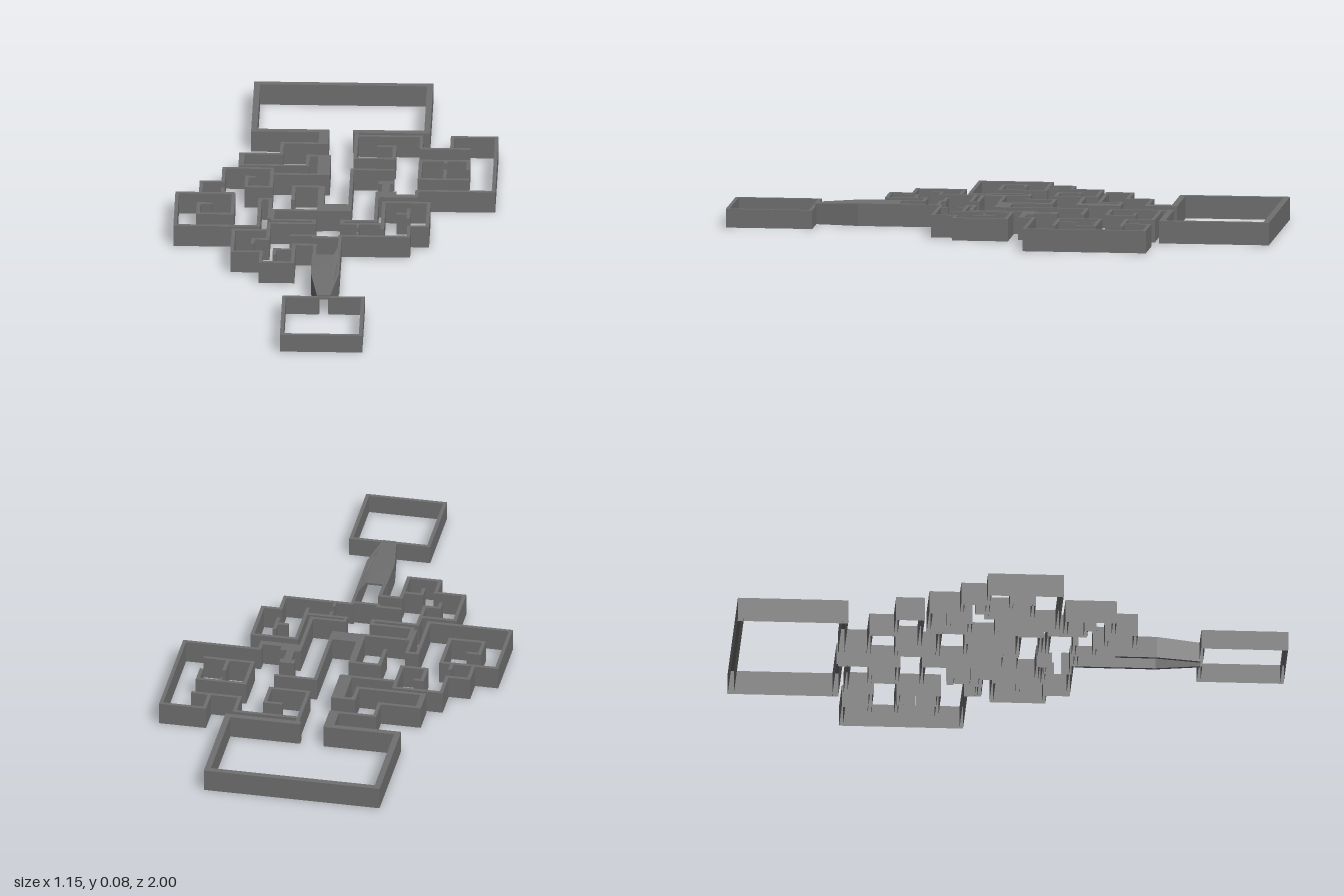
import * as THREE from 'three';

// Plan coordinates are [x, z] in hundredths of a unit.
const material = new THREE.MeshStandardMaterial({ color: 0x707070, flatShading: true, side: THREE.DoubleSide });
const HEIGHT = 0.082;
const THIN = 1.3;

// Box shell, open underneath
function block(parent, name, x0, x1, z0, z1, h = HEIGHT, y0 = 0) {
  const geo = new THREE.BoxGeometry((x1 - x0) / 100, h - y0, (z1 - z0) / 100);
  geo.setIndex([...geo.index.array].filter((_, i) => i < 18 || i > 23));
  geo.clearGroups();
  const mesh = new THREE.Mesh(geo, material);
  mesh.position.set((x0 + x1) / 200, (h + y0) / 2, (z0 + z1) / 200);
  mesh.name = name;
  parent.add(mesh);
}

// Upright axis-aligned walls following a path, with square corners
function walls(parent, name, path, t = THIN, h = HEIGHT) {
  const group = new THREE.Group();
  group.name = name;
  for (let i = 0; i + 1 < path.length; i++) {
    const [ax, az] = path[i], [bx, bz] = path[i + 1], r = t / 2;
    block(group, 'wall', Math.min(ax, bx) - r, Math.max(ax, bx) + r, Math.min(az, bz) - r, Math.max(az, bz) + r, h);
  }
  parent.add(group);
}

// Flat plan outline raised between two heights
function prism(parent, name, outline, y0, y1, slope) {
  const shape = new THREE.Shape(outline.map(([x, z]) => new THREE.Vector2(x / 100, -z / 100)));
  const geo = new THREE.ExtrudeGeometry(shape, { depth: y1 - y0, bevelEnabled: false });
  geo.rotateX(-Math.PI / 2).translate(0, y0, 0);
  const p = geo.attributes.position;
  for (let i = 0; i < p.count; i++) p.setY(i, p.getY(i) * slope(p.getZ(i)));
  geo.computeVertexNormals();
  const mesh = new THREE.Mesh(geo, material);
  mesh.name = name;
  parent.add(mesh);
}

export function createModel() {
  const model = new THREE.Group();
  model.name = 'mazeWalls';

  // Large back hall, open in the middle of its front wall
  walls(model, 'backHall', [[-5, -61.1], [-30.9, -61.1], [-30.9, -98.9], [31.6, -98.9], [31.6, -61.1], [5.9, -61.1]], 2.2);

  // Left half of the maze
  walls(model, 'upperLeftPassage', [[-5, -51.2], [-20.5, -51.2], [-20.5, -42.3], [-35.1, -42.3], [-35.1, -33.2],
    [-10.8, -33.2], [-10.8, -41.2], [-3.5, -41.2]]);
  walls(model, 'leftOuterWall', [[-3.5, -26.2], [-23.5, -26.2], [-23.5, -30.6], [-40.9, -30.6], [-40.9, -19.5],
    [-48.8, -19.5], [-48.8, -10.3], [-57.3, -10.3], [-57.3, 15.8], [-27.2, 15.8], [-27.2, -6.1], [-23.4, -6.1], [-23.4, 9]]);
  walls(model, 'leftHook', [[-23.5, -26.2], [-23.5, -15.8], [-32.5, -15.8], [-32.5, -23.7], [-30, -23.7]]);
  walls(model, 'leftStub', [[-40.9, -14], [-40.9, -10.3]]);
  walls(model, 'leftSpiral', [[-48.8, -10.3], [-36.9, -10.3], [-36.9, 6.2], [-49.3, 6.2], [-49.3, -2], [-45.2, -2]]);
  walls(model, 'centreLeftWall', [[-15.3, -6], [-15.3, -16.4], [-5, -16.4], [-5, 2.6], [-22.2, 2.6], [-22.2, 10.6],
    [-7.1, 10.6], [-7.1, 13.2], [-23.5, 13.2], [-23.5, 18.9], [-36.1, 18.9], [-36.1, 36.2], [-25.6, 36.2], [-25.6, 44.5],
    [-14, 44.5], [-14, 30.2], [-6.3, 30.2], [-6.3, 38]]);
  walls(model, 'lowerLeftHook', [[-23.5, 18.9], [-23.5, 26.2], [-28.8, 26.2], [-28.8, 29.2]]);
  walls(model, 'lowerLeftStub', [[-14, 34.1], [-20.8, 34.1], [-20.8, 37.7]]);

  // Right half of the maze
  walls(model, 'upperRightRoom', [[6.2, -61], [6.2, -39.6], [20.2, -39.6], [20.2, -49.4], [14.5, -49.4]]);
  walls(model, 'rightOuterWall', [[7, -57.6], [29.8, -57.6], [29.8, -48], [47, -48]]);
  walls(model, 'rightOuterWall', [[40.9, -48], [40.9, -57.6], [56.9, -57.6], [56.9, -14.1], [29.3, -14.1], [29.3, -9.3],
    [15, -9.3], [15, 10.6], [2.9, 10.6], [2.9, 13], [17.6, 13]]);
  walls(model, 'rightCell', [[47.2, -32], [47.2, -38.4], [29.9, -38.4], [29.9, -23.6], [47.2, -23.6]]);
  walls(model, 'cellPostBack', [[39, -38], [39, -36.8]]);
  walls(model, 'cellPostFront', [[39, -30.6], [39, -24]]);
  walls(model, 'centreRightWall', [[5.4, 1], [5.4, -30.6], [20, -30.6]]);
  walls(model, 'lowerRightRoom', [[17.6, 16.5], [17.6, -4.6], [33.8, -4.6], [33.8, 14.4], [27.2, 14.4], [27.2, 22.8], [2.6, 22.8]]);
  walls(model, 'lowerRightCross', [[23, 4.4], [26.7, 4.4]]);
  walls(model, 'lowerRightCross', [[26.7, 1], [26.7, 7.8]]);
  walls(model, 'smallPosts', [[8.7, 13.5], [8.7, 15.5]], 1);
  walls(model, 'smallPosts', [[8.7, 20], [8.7, 22.5]], 1);

  // Thick wall pieces
  for (const [x0, x1, z0, z1] of [[-7.4, -3.8, -62, -50.6], [-7.2, -2.6, -41.8, -25.6], [-6.4, -4, -17, 3],
    [-6.4, 5.9, -2.5, 3], [14.4, 21.9, -13.2, -8.5], [21.9, 29.9, -10.8, -8.5], [16.6, 19.4, -19, -13.2],
    [15.1, 20.6, -21.6, -19], [-35.8, -33.8, -42.9, -32.6]]) block(model, 'thickWall', x0, x1, z0, z1);

  // Covered entry tunnel, sloping down to the front room
  walls(model, 'entryWall', [[-15, 22.8], [-7, 22.8], [-7, 24], [2.4, 24]]);
  const fall = z => 1 - 0.09 * THREE.MathUtils.clamp((z - 0.53) / 0.16, 0, 1);
  const tunnel = new THREE.Group();
  tunnel.name = 'entryTunnel';
  model.add(tunnel);
  prism(tunnel, 'tunnelRoof', [[-7.2, 38], [-7.2, 53], [-4.6, 69], [0.4, 69], [3.1, 53], [3.1, 24], [2, 24], [2, 32], [0.6, 38]],
    HEIGHT - 0.008, HEIGHT, fall);
  prism(tunnel, 'tunnelWallRight', [[-7.2, 38], [-7.2, 53], [-4.6, 69], [-3.6, 69], [-6.2, 53], [-6.2, 38]], 0, HEIGHT - 0.0005, fall);
  prism(tunnel, 'tunnelWallLeft', [[3.1, 24], [3.1, 53], [0.4, 69], [-0.6, 69], [2.1, 53], [2.1, 24]], 0, HEIGHT - 0.0005, fall);

  // Front room, lower than the maze and open towards the tunnel
  walls(model, 'frontRoom', [[-4.5, 69.2], [-16.4, 69.2], [-16.4, 99.35], [12.1, 99.35], [12.1, 69.2], [0.3, 69.2]], THIN, 0.068);
  block(model, 'frontRoomLintel', -5, 1, 68.5, 69.8, 0.068, 0.06);

  return model;
}
